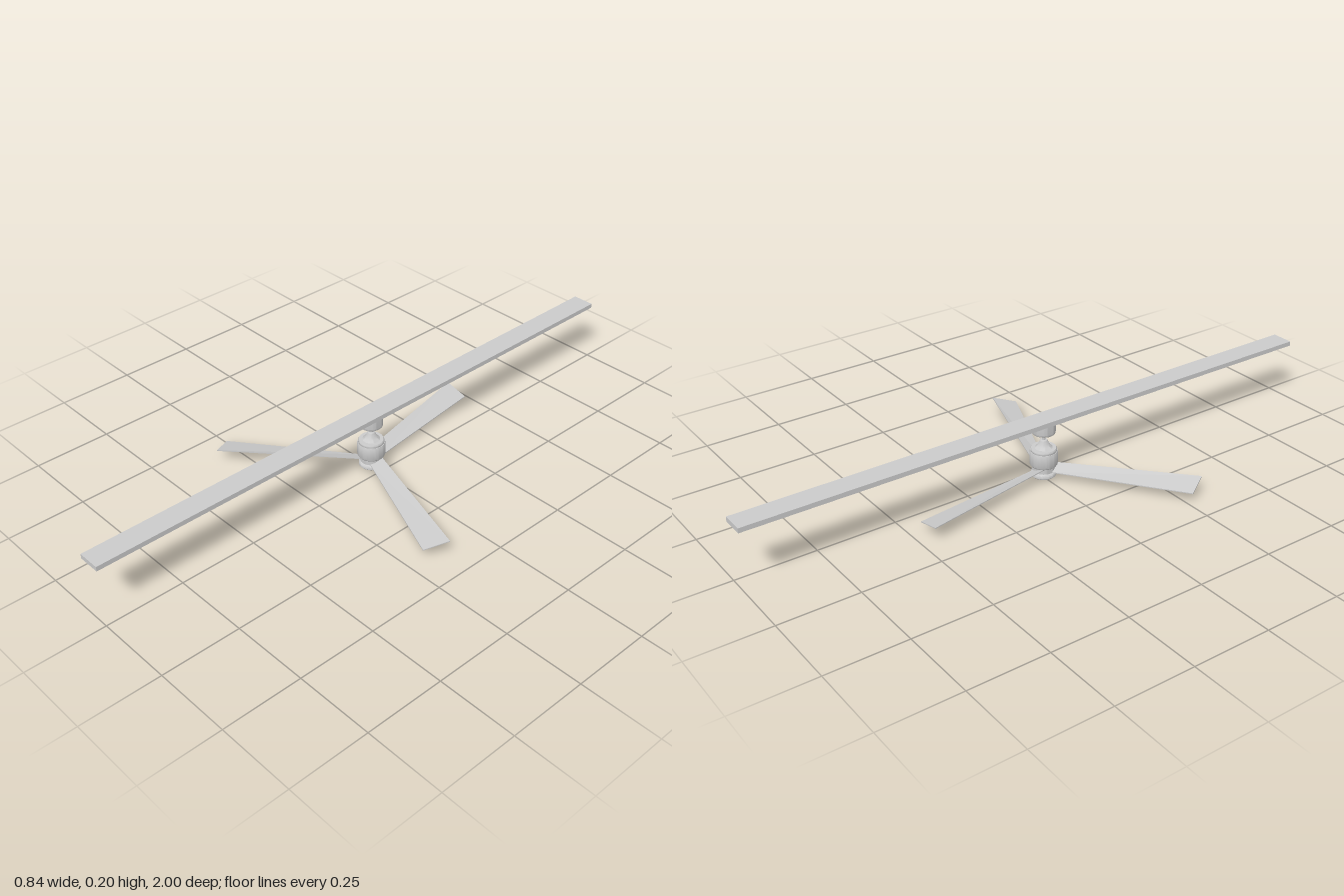
import * as THREE from 'three';
import { toCreasedNormals } from 'three/addons/utils/BufferGeometryUtils.js';

const material = new THREE.MeshStandardMaterial({ color: 0xcccccc });

function addMesh(parent, name, geometry) {
  const mesh = new THREE.Mesh(geometry, material);
  mesh.name = name;
  parent.add(mesh);
  return mesh;
}

// Turned part from [radius, height] pairs, listed bottom to top
function turned(parent, name, profile) {
  const points = profile.map(([r, y]) => new THREE.Vector2(r, y));
  return addMesh(parent, name, toCreasedNormals(new THREE.LatheGeometry(points, 48), 0.6));
}

// Pitched, tapered blade along +x with a skewed tip: a box with its corners moved
function bladeGeometry() {
  const geometry = new THREE.BoxGeometry(1, 1, 1);
  const p = geometry.attributes.position;
  const thickness = 0.003;
  for (let i = 0; i < p.count; i++) {
    const tip = p.getX(i) > 0;
    const lowEdge = p.getZ(i) > 0;
    const radius = tip ? (lowEdge ? 0.462 : 0.476) : 0.024;
    const side = lowEdge ? (tip ? 0.039 : 0.016) : (tip ? -0.038 : -0.024);
    const height = lowEdge ? 0.0285 : (tip ? 0.0465 : 0.0425);
    p.setXYZ(i, radius, height + p.getY(i) * thickness, side);
  }
  const flat = geometry.toNonIndexed();
  flat.computeVertexNormals();
  return flat;
}

export function createModel() {
  const model = new THREE.Group();
  model.name = 'ceilingFan';

  const fan = new THREE.Group();
  fan.name = 'fan';
  fan.position.x = -0.04;
  model.add(fan);

  // Ceiling beam
  addMesh(fan, 'ceilingBeam', new THREE.BoxGeometry(0.072, 0.015, 2)).position.y = 0.195;

  // Canopy and hanging rod
  turned(fan, 'canopy', [[0, 0.152], [0.029, 0.152], [0.033, 0.153], [0.0355, 0.156], [0.036, 0.16], [0.036, 0.188], [0, 0.188]]);
  turned(fan, 'rodCollar', [[0, 0.146], [0.006, 0.146], [0.01, 0.149], [0.012, 0.153], [0, 0.153]]);
  addMesh(fan, 'rod', new THREE.CylinderGeometry(0.0055, 0.0055, 0.036, 24)).position.y = 0.138;
  turned(fan, 'rodCover', [[0.03, 0.102], [0.026, 0.105], [0.021, 0.11], [0.016, 0.117], [0.013, 0.125], [0.012, 0.129], [0.01, 0.131], [0, 0.131]]);

  // Motor housing with its stepped top cap
  turned(fan, 'motorTopCap', [[0.038, 0.09], [0.04, 0.094], [0.04, 0.101], [0.038, 0.104], [0, 0.104]]);
  turned(fan, 'motorHousing', [[0, 0.044], [0.036, 0.044], [0.04, 0.046], [0.0425, 0.05], [0.0435, 0.055], [0.0435, 0.09], [0.042, 0.094], [0, 0.094]]);

  // Blade hub, lower ring and domed bottom cap
  turned(fan, 'bladeHub', [[0, 0.02], [0.034, 0.02], [0.034, 0.046], [0, 0.046]]);
  turned(fan, 'lowerRing', [[0.036, 0.012], [0.039, 0.013], [0.039, 0.021], [0.037, 0.025], [0.034, 0.027], [0, 0.027]]);
  turned(fan, 'bottomCap', [[0, 0], [0.012, 0.001], [0.022, 0.003], [0.03, 0.006], [0.035, 0.009], [0.037, 0.012], [0.037, 0.014], [0, 0.014]]);

  // Three blades spaced evenly around the hub
  const blade = bladeGeometry();
  for (let i = 0; i < 3; i++) {
    addMesh(fan, `blade${i + 1}`, blade).rotation.y = -THREE.MathUtils.degToRad(20 + i * 120);
  }

  return model;
}
